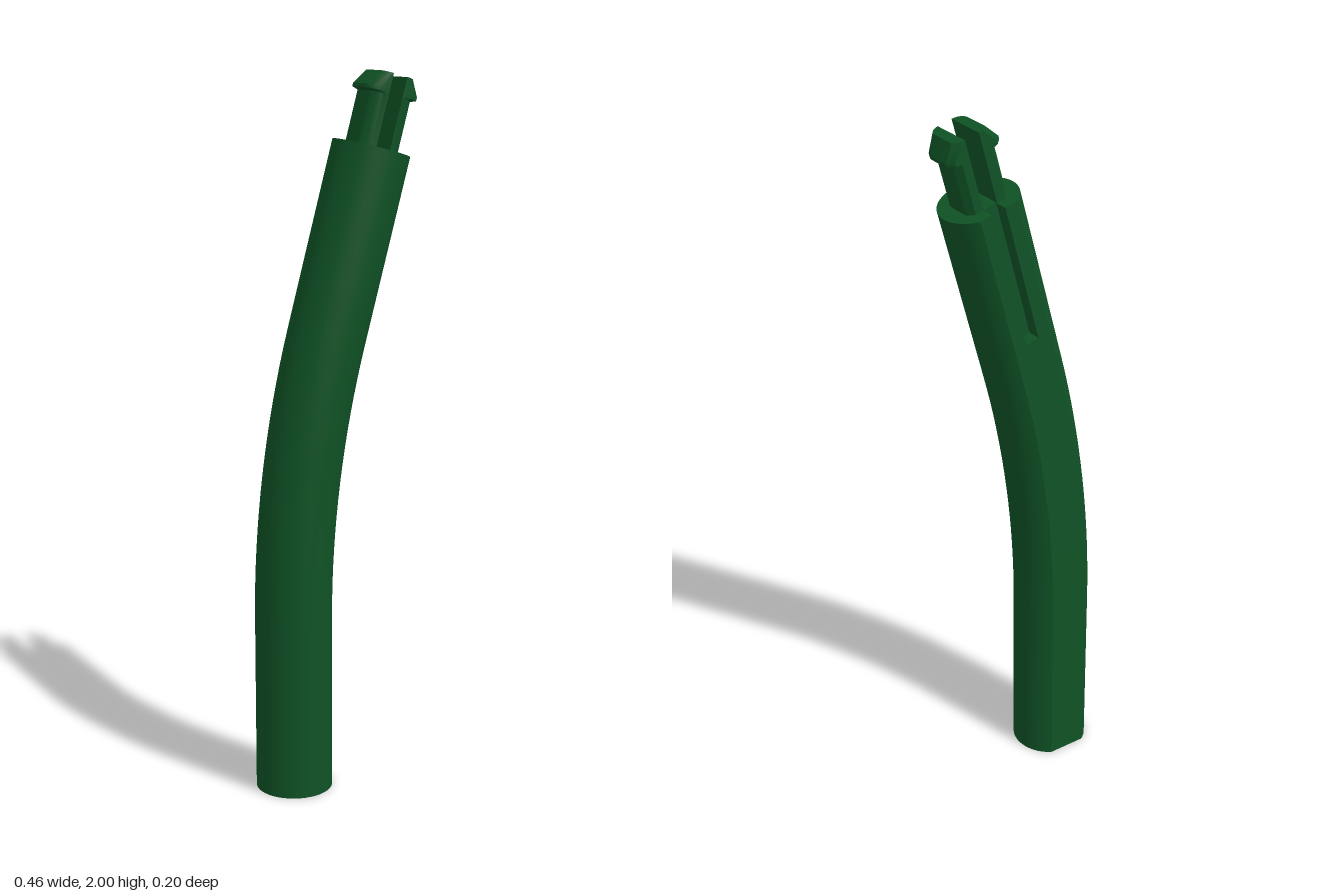
import * as THREE from 'three';
import { toCreasedNormals } from 'three/addons/utils/BufferGeometryUtils.js';

const TILT = THREE.MathUtils.degToRad(15);
const BASE_X = -0.127, STRAIGHT = 0.5, BEND_RADIUS = 3.06, UPPER = 0.52;
const ARC = BEND_RADIUS * TILT;
const LENGTH = STRAIGHT + ARC + UPPER;

// Position and lean of the centre line at distance s from the foot
function frameAt(s) {
  const t = THREE.MathUtils.clamp((s - STRAIGHT) / ARC, 0, 1) * TILT;
  const low = Math.min(s, STRAIGHT), high = Math.max(s - STRAIGHT - ARC, 0);
  return {
    t,
    x: BASE_X + BEND_RADIUS * (1 - Math.cos(t)) + high * Math.sin(t),
    y: low + BEND_RADIUS * Math.sin(t) + high * Math.cos(t),
  };
}

// Skin of matching cross-sections placed along the centre line, with end caps
function loft(stations) {
  const n = stations[0].section.length, pos = [], index = [];
  for (const { s, section } of stations) {
    const { x, y, t } = frameAt(s);
    for (const p of section) pos.push(x + p.x * Math.cos(t), y - p.x * Math.sin(t), p.y);
  }
  for (let k = 0; k < stations.length - 1; k++) {
    for (let i = 0; i < n; i++) {
      const a = k * n + i, b = k * n + (i + 1) % n;
      index.push(a, a + n, b, b, a + n, b + n);
    }
  }
  const top = (stations.length - 1) * n;
  for (const [a, b, c] of THREE.ShapeUtils.triangulateShape([...stations[0].section], [])) index.push(a, b, c);
  for (const [a, b, c] of THREE.ShapeUtils.triangulateShape([...stations.at(-1).section], [])) {
    index.push(top + a, top + c, top + b);
  }
  const g = new THREE.BufferGeometry();
  g.setAttribute('position', new THREE.Float32BufferAttribute(pos, 3));
  g.setIndex(index);
  return toCreasedNormals(g, 0.5);
}

// Round section with a flat back; the groove floor sits at z = floor
function stemSection(floor) {
  const r = 0.108, cz = -0.008, back = -0.1, w = 0.02, sides = 40;
  const a = Math.asin((cz - back) / r), pts = [];
  for (let i = 0; i <= sides; i++) {
    const q = -a + (Math.PI + 2 * a) * i / sides;
    pts.push(new THREE.Vector2(r * Math.cos(q), cz + r * Math.sin(q)));
  }
  for (const [x, z] of [[-w, back], [-w, floor], [w, floor], [w, back]]) pts.push(new THREE.Vector2(x, z));
  return pts;
}

// Half of the split peg: rounded in front, chamfered behind, reaching out to e
function prongSection(e, side) {
  const inner = 0.021, r = Math.min(0.04, e - inner);
  const pts = [[inner, -0.062], [e - 0.017, -0.062], [e, -0.045]];
  for (let i = 0; i <= 8; i++) {
    const q = i / 8 * Math.PI / 2;
    pts.push([e - r + r * Math.cos(q), 0.06 - r + r * Math.sin(q)]);
  }
  pts.push([inner, 0.06]);
  const out = pts.map(([x, z]) => new THREE.Vector2(x * side, z));
  return side < 0 ? out.reverse() : out;
}

export function createModel() {
  const model = new THREE.Group();
  model.name = 'bentStem';
  const green = new THREE.MeshStandardMaterial({ color: 0x0f5225 });
  green.name = 'dark green';

  const add = (name, stations) => {
    const mesh = new THREE.Mesh(loft(stations), green);
    mesh.name = name;
    model.add(mesh);
  };

  // Curved stem, grooved at the back near its top
  const plain = stemSection(-0.1), grooved = stemSection(-0.06);
  const stem = [{ s: 0, section: plain }];
  for (let i = 0; i <= 16; i++) stem.push({ s: STRAIGHT + ARC * i / 16, section: plain });
  stem.push({ s: LENGTH - 0.4, section: plain });
  stem.push({ s: LENGTH - 0.4, section: grooved }, { s: LENGTH, section: grooved });
  add('stem', stem);

  // Two snap prongs with barbed tips: [height above the stem, outward reach]
  const profile = [[-0.02, 0.062], [0.142, 0.062], [0.147, 0.08], [0.157, 0.08], [0.2, 0.05]];
  for (const side of [1, -1]) {
    add(side > 0 ? 'leftProng' : 'rightProng',
      profile.map(([v, e]) => ({ s: LENGTH + v, section: prongSection(e, side) })));
  }
  return model;
}
